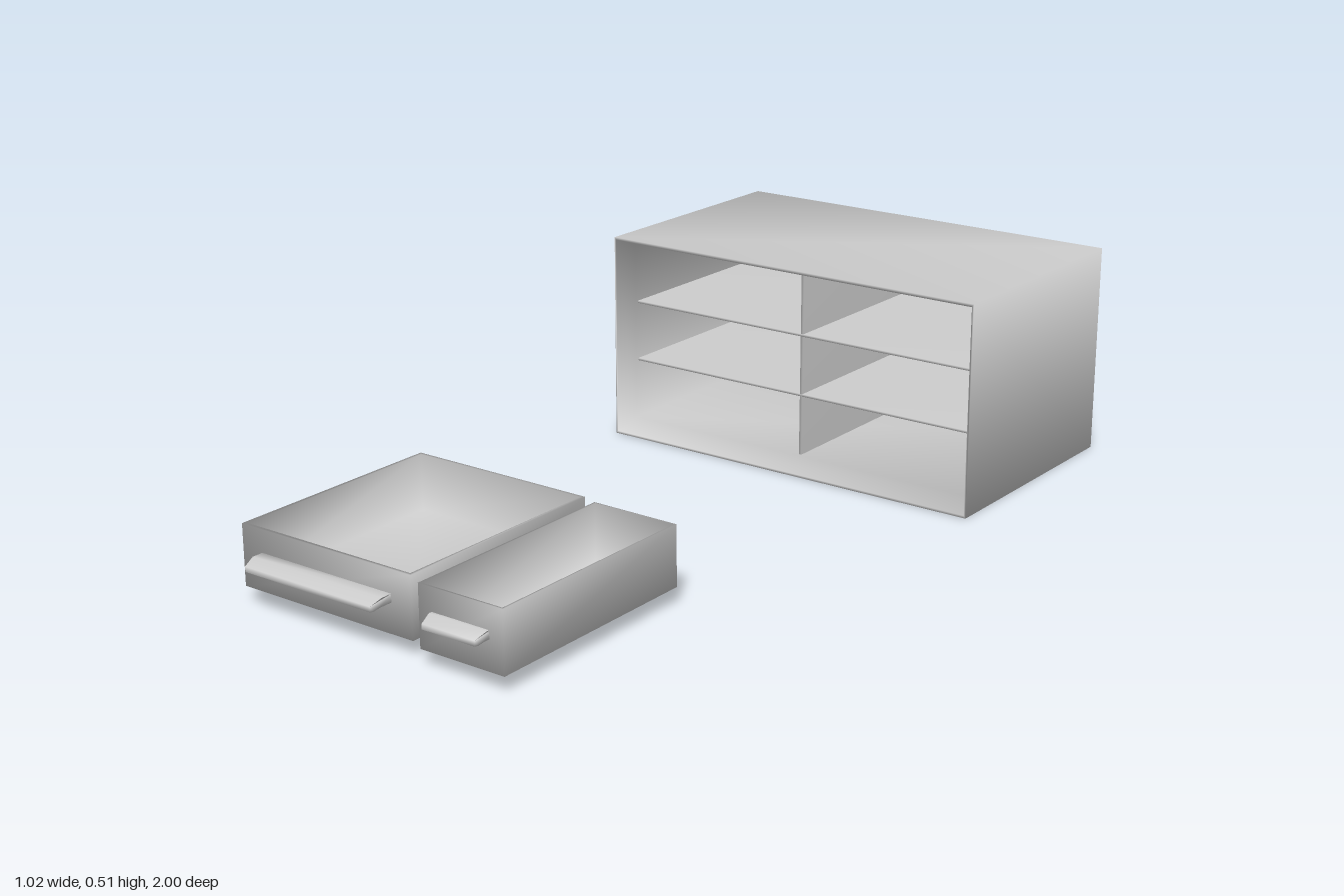
import * as THREE from 'three';
import { mergeVertices } from 'three/addons/utils/BufferGeometryUtils.js';

const material = new THREE.MeshStandardMaterial({ color: 0xcccccc });

// Share corners so the normals run smoothly over every edge
function addSmoothMesh(parent, geometry, name) {
  geometry.deleteAttribute('normal');
  geometry.deleteAttribute('uv');
  const smooth = mergeVertices(geometry);
  smooth.computeVertexNormals();
  const mesh = new THREE.Mesh(smooth, material);
  mesh.name = name;
  parent.add(mesh);
}

// Box given by its minimum and maximum on each axis
function addBox(parent, name, [x0, x1], [y0, y1], [z0, z1]) {
  const geometry = new THREE.BoxGeometry(x1 - x0, y1 - y0, z1 - z0);
  geometry.translate((x0 + x1) / 2, (y0 + y1) / 2, (z0 + z1) / 2);
  addSmoothMesh(parent, geometry, name);
}

// Skin over rings of four corners; either closed into a loop or capped at both ends
function loft(rings, closed) {
  const positions = [];
  const quad = (a, b, c, d) => positions.push(...a, ...b, ...c, ...a, ...c, ...d);
  const last = rings.length - 1;
  for (let i = 0; i < (closed ? rings.length : last); i++) {
    const ring = rings[i];
    const next = rings[(i + 1) % rings.length];
    for (let k = 0; k < 4; k++) quad(ring[k], ring[(k + 1) % 4], next[(k + 1) % 4], next[k]);
  }
  if (!closed) {
    quad(...[...rings[0]].reverse());
    quad(...rings[last]);
  }
  const geometry = new THREE.BufferGeometry();
  geometry.setAttribute('position', new THREE.Float32BufferAttribute(positions, 3));
  return geometry;
}

// Open-topped tray with thin walls and floor
function trayGeometry([x0, x1], [y0, y1], [z0, z1], wall) {
  const ring = (y, t) => [
    [x0 + t, y, z0 + t], [x0 + t, y, z1 - t], [x1 - t, y, z1 - t], [x1 - t, y, z0 + t],
  ];
  return loft([ring(y0, 0), ring(y1, 0), ring(y1, wall), ring(y0 + wall, wall)], false);
}

// Bent lip handle: side profile in (z, y) extruded along x, with narrowed outer ends
function addHandle(parent, [x0, x1], zBack) {
  const profile = [[zBack, 0.108], [0.98, 0.108], [0.99, 0.102], [1, 0.104], [1, 0.116], [0.972, 0.127], [zBack, 0.127]];
  const shape = new THREE.Shape(profile.map(([z, y]) => new THREE.Vector2(-z, y)));
  const geometry = new THREE.ExtrudeGeometry(shape, { depth: x1 - x0, bevelEnabled: false });
  geometry.rotateY(Math.PI / 2).translate(x0, 0, 0);
  const p = geometry.attributes.position;
  const middle = (x0 + x1) / 2;
  for (let i = 0; i < p.count; i++) {
    if (p.getZ(i) > 0.985) p.setX(i, p.getX(i) - Math.sign(p.getX(i) - middle) * 0.006);
  }
  addSmoothMesh(parent, geometry, 'handle');
}

export function createModel() {
  const model = new THREE.Group();
  model.name = 'cabinetWithDrawers';

  // Cabinet: sleeve open at both ends, with an inward chamfer at the front
  const cabinet = new THREE.Group();
  cabinet.name = 'cabinet';
  model.add(cabinet);
  const sections = [
    [0.51, 0, 0.512, -1],
    [0.51, 0, 0.512, -0.38],
    [0.505, 0.006, 0.506, -0.38],
    [0.492, 0.03, 0.485, -0.44],
    [0.492, 0.03, 0.485, -1],
  ];
  const rings = sections.map(([x, y0, y1, z]) => [[-x, y0, z], [x, y0, z], [x, y1, z], [-x, y1, z]]);
  addSmoothMesh(cabinet, loft(rings, true), 'cabinetShell');

  // Inner shelves and upright divider
  for (const y of [0.182, 0.333]) {
    addBox(cabinet, 'shelf', [-0.492, 0.492], [y - 0.003, y + 0.003], [-1, -0.45]);
  }
  addBox(cabinet, 'divider', [0.001, 0.008], [0.03, 0.485], [-1, -0.45]);

  // Two open drawers pulled out in front of the cabinet
  const drawers = [
    { name: 'wideDrawer', x: [-0.456, 0.019], z: [0.4, 0.945], wall: 0.008, handle: [-0.4, -0.036], handleBack: 0.94 },
    { name: 'narrowDrawer', x: [0.056, 0.274], z: [0.413, 0.964], wall: 0.005, handle: [0.09, 0.238], handleBack: 0.948 },
  ];
  for (const { name, x, z, wall, handle, handleBack } of drawers) {
    const drawer = new THREE.Group();
    drawer.name = name;
    model.add(drawer);
    addSmoothMesh(drawer, trayGeometry(x, [0.039, 0.18], z, wall), 'drawerTray');
    addHandle(drawer, handle, handleBack);
  }

  return model;
}
